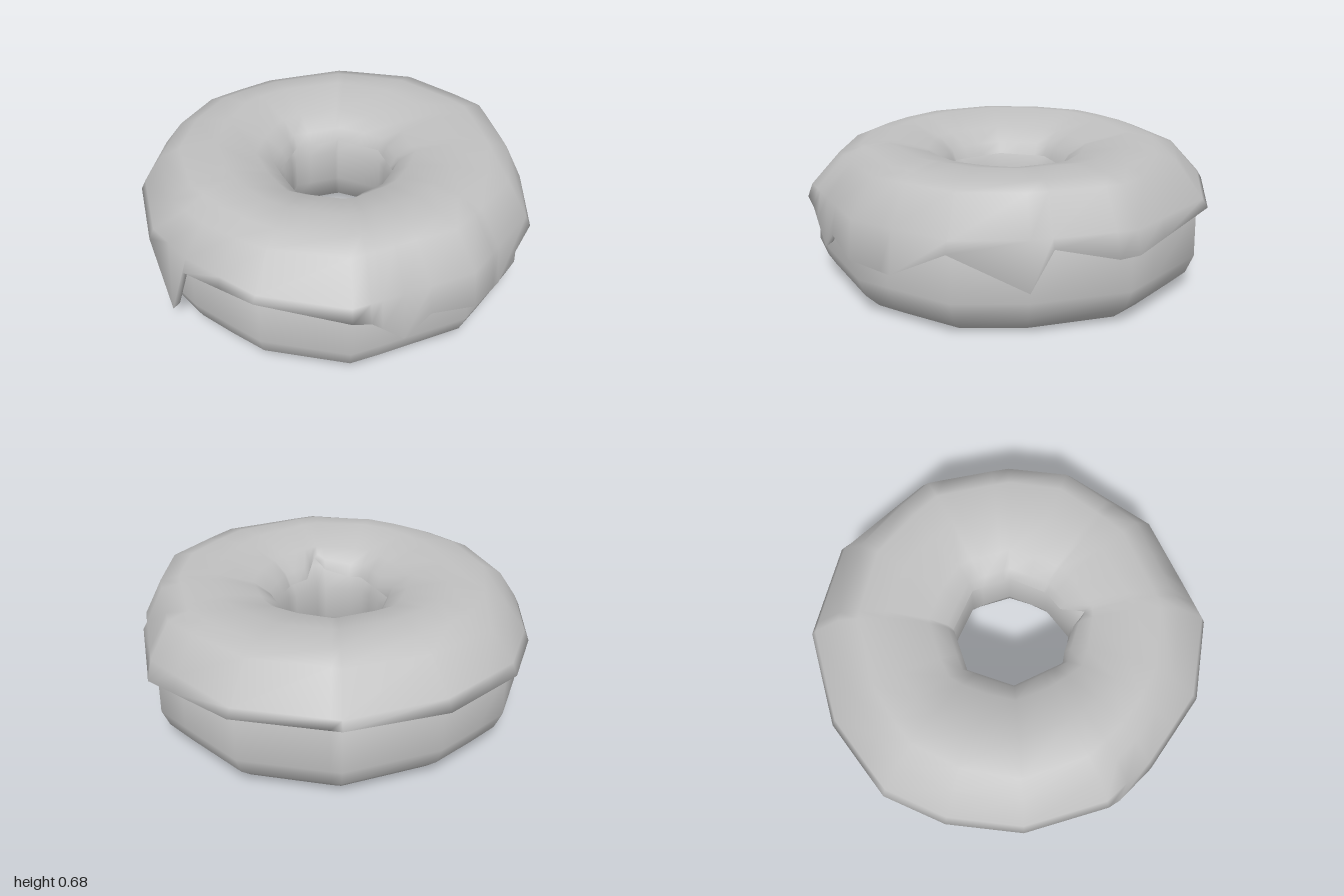
import * as THREE from 'three';

// Angles in degrees: 0 = +x, 90 = front (+z).
// Outline polygons as [angle, radius].
const OUTER = [[5, 0.968], [25, 1.0], [55, 0.99], [90, 0.998], [115, 0.97], [140, 0.945], [157, 0.968], [182, 0.97],
  [204, 0.975], [223, 0.998], [248.5, 0.98], [277, 1.007], [305, 1.02], [337, 1.008]];
const HOLE = [[5, 0.3], [45, 0.285], [82, 0.305], [127, 0.3], [182, 0.272], [233.5, 0.286], [280, 0.284], [326, 0.3]];
// Lower edge of the icing with its drips, as [angle, height].
const RIM = [[5, 0.245], [25, 0.42], [42, 0.265], [55, 0.29], [68, 0.33], [75.7, 0.225], [85, 0.375], [90, 0.405],
  [115, 0.44], [140, 0.4], [149, 0.07], [157, 0.42], [182, 0.42], [223, 0.41], [248.5, 0.41], [277, 0.43],
  [305, 0.43], [342, 0.355], [359, 0.43]];

const rad = THREE.MathUtils.degToRad;
const mix = THREE.MathUtils.lerp;

// Find the pair of entries around an angle, wrapping past 360.
function around(list, deg) {
  const n = list.length;
  for (let i = 0; i < n; i++) {
    const a = list[i], b = list[(i + 1) % n];
    const span = (b[0] - a[0] + 360) % 360, off = (deg - a[0] + 360) % 360;
    if (off < span) return { a: a[1], b: b[1], span, off };
  }
}

// Radius of a straight-sided outline at an angle.
function outline(list, deg) {
  const { a, b, span, off } = around(list, deg);
  return a * b * Math.sin(rad(span)) / (a * Math.sin(rad(off)) + b * Math.sin(rad(span - off)));
}

function height(list, deg) {
  const { a, b, span, off } = around(list, deg);
  return a + (b - a) * off / span;
}

// Sorted corner angles of the given lists; each becomes one column of a ring.
function columns(...lists) {
  return [...new Set(lists.flat().map((e) => e[0]))].sort((p, q) => p - q);
}

// Sweep a profile of [fraction from hole to outside, height] round the ring.
function ring(angles, profile, closed) {
  const pos = [], index = [], n = angles.length;
  let m = 0;
  for (const deg of angles) {
    const pts = profile(deg), inner = outline(HOLE, deg), outer = outline(OUTER, deg);
    m = pts.length;
    for (const [f, y] of pts) {
      const r = inner + f * (outer - inner);
      pos.push(r * Math.cos(rad(deg)), y, r * Math.sin(rad(deg)));
    }
  }
  for (let i = 0; i < n; i++) {
    for (let j = 0; j < (closed ? m : m - 1); j++) {
      const k = (j + 1) % m, next = (i + 1) % n;
      const a = i * m + j, b = i * m + k, c = next * m + k, d = next * m + j;
      index.push(a, b, d, b, c, d);
    }
  }
  const geo = new THREE.BufferGeometry();
  geo.setAttribute('position', new THREE.Float32BufferAttribute(pos, 3));
  geo.setIndex(index);
  geo.computeVertexNormals();
  return geo;
}

// Rounded, flat-bottomed dough.
function doughProfile() {
  return [[0.56, 0], [0.79, 0.018], [0.89, 0.09], [0.938, 0.18], [0.93, 0.42], [0.75, 0.56], [0.3, 0.57],
    [0.1, 0.53], [0.02, 0.42], [0.015, 0.25], [0.09, 0.11], [0.26, 0.025]];
}

// Icing shell: folded lower lip, sloping shoulder, crown, then down into the hole with a notch at the front.
function icingProfile(deg) {
  const y = height(RIM, deg);
  const notch = Math.max(0, 1 - Math.abs(deg - 82) / 12);
  const side = Math.cos(rad(deg));
  const shoulder = 0.8 + 0.035 * Math.cos(rad(2 * deg));
  return [[0.945, y + 0.02], [1, y], [0.965, 0.47], [shoulder, 0.625 + 0.02 * side],
    [shoulder - 0.14, 0.66 + 0.005 * side], [0.44, 0.677 - 0.008 * side],
    [0.16, 0.62], [mix(0.04, 0.13, notch), mix(0.56, 0.6, notch)], [mix(0, 0.11, notch), mix(0.5, 0.57, notch)]];
}

export function createModel() {
  const group = new THREE.Group();
  group.name = 'ringDoughnut';
  const grey = new THREE.MeshStandardMaterial({ color: 0xc0c0c0, side: THREE.DoubleSide });
  grey.name = 'plain grey';

  const dough = new THREE.Mesh(ring(columns(OUTER, HOLE), doughProfile, true), grey);
  dough.name = 'dough';
  const icing = new THREE.Mesh(ring(columns(OUTER, HOLE, RIM), icingProfile, false), grey);
  icing.name = 'icing';
  group.add(dough, icing);
  return group;
}
